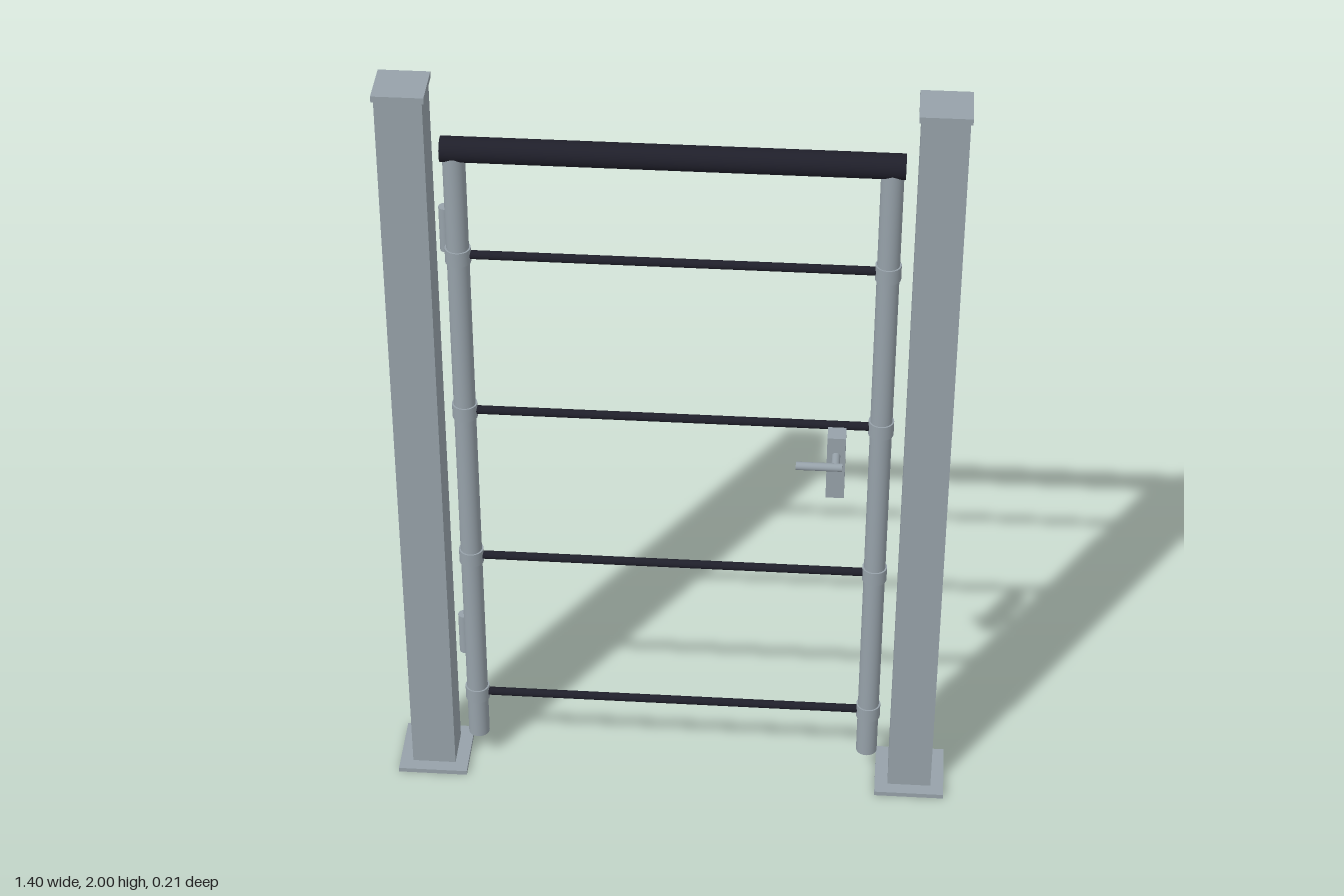
import * as THREE from 'three';

const Z = -0.016; // plane of the posts and the gate leaf

export function createModel() {
  const root = new THREE.Group();
  root.name = 'gate';
  const steel = new THREE.MeshStandardMaterial({ color: 0x96a1a9 });
  steel.name = 'galvanised grey';
  const dark = new THREE.MeshStandardMaterial({ color: 0x1f1f2a });
  dark.name = 'dark coating';

  const add = (parent, name, geometry, material, x, y, z) => {
    const mesh = new THREE.Mesh(geometry, material);
    mesh.name = name;
    mesh.position.set(x, y, z);
    parent.add(mesh);
    return mesh;
  };
  const box = (parent, name, w, h, d, x, y, z) =>
    add(parent, name, new THREE.BoxGeometry(w, h, d), steel, x, y, z);
  const rod = (parent, name, r, length, material, x, y, z, axis = 'y') => {
    const mesh = add(parent, name, new THREE.CylinderGeometry(r, r, length, 32), material, x, y, z);
    if (axis === 'x') mesh.rotation.z = Math.PI / 2;
    if (axis === 'z') mesh.rotation.x = Math.PI / 2;
    return mesh;
  };

  const rungHeights = [0.214, 0.659, 1.104, 1.549];

  for (const [side, s] of [['left', 1], ['right', -1]]) {
    // Square post with foot plate and cap
    const post = new THREE.Group();
    post.name = side + 'Post';
    root.add(post);
    box(post, 'footPlate', 0.176, 0.012, 0.176, s * 0.613, 0.006, Z);
    box(post, 'postShaft', 0.11, 1.975, 0.11, s * 0.613, 0.9975, Z);
    box(post, 'postCap', 0.12, 0.015, 0.12, s * 0.613, 1.9925, Z);

    // Tubular stile with a sleeve at each rung
    const stile = new THREE.Group();
    stile.name = side + 'Stile';
    root.add(stile);
    rod(stile, 'stileTube', 0.0265, 1.744, steel, s * 0.5, 0.952, Z);
    for (const y of rungHeights) rod(stile, 'rungSleeve', 0.0305, 0.038, steel, s * 0.5, y, Z);
  }

  // Top rail and thin rungs
  rod(root, 'topRail', 0.03, 1.06, dark, 0, 1.834, Z, 'x');
  for (const y of rungHeights) rod(root, 'rung', 0.0105, 1, dark, 0, y, Z, 'x');

  // Hinge barrels behind the right stile
  for (const y of [0.36, 1.584]) rod(root, 'hingeBarrel', 0.0155, 0.118, steel, -0.534, y, -0.072);

  // Lock case with lever handle
  const lock = new THREE.Group();
  lock.name = 'lock';
  root.add(lock);
  box(lock, 'lockCase', 0.044, 0.176, 0.046, 0.396, 1.023, 0.026);
  rod(lock, 'handleSpindle', 0.01, 0.05, steel, 0.396, 1.06, 0.07, 'z');
  rod(lock, 'leverHandle', 0.01, 0.11, steel, 0.357, 1.06, 0.094, 'x');

  return root;
}
